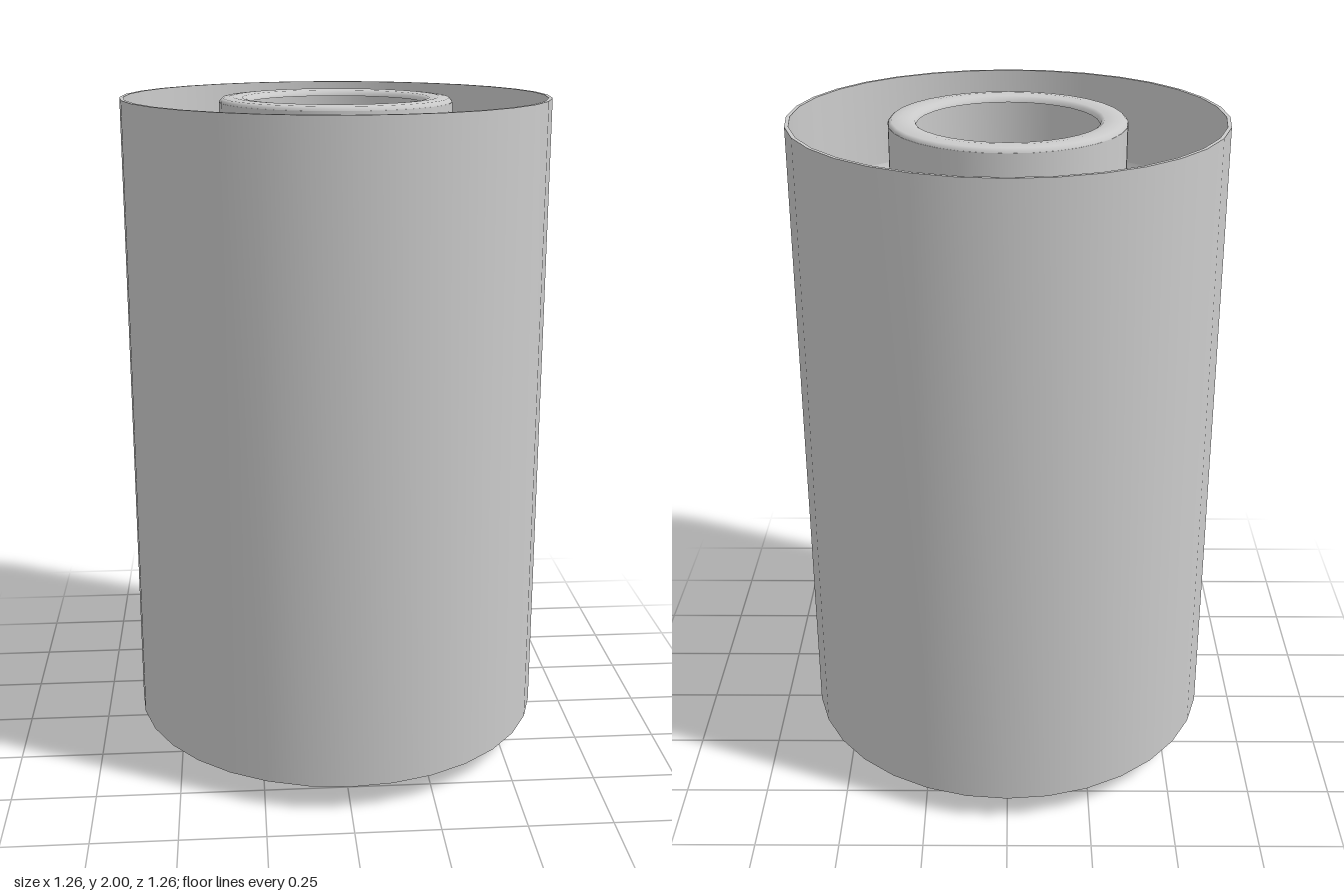
import * as THREE from 'three';
import { toCreasedNormals } from 'three/addons/utils/BufferGeometryUtils.js';

const material = new THREE.MeshStandardMaterial({ color: 0xcccccc, side: THREE.DoubleSide });
const SIDES = 32;

function lathe(name, profile, crease) {
  const points = profile.map(([r, y]) => new THREE.Vector2(r, y));
  let geometry = new THREE.LatheGeometry(points, SIDES);
  if (crease) geometry = toCreasedNormals(geometry, crease);
  const mesh = new THREE.Mesh(geometry, material);
  mesh.name = name;
  return mesh;
}

// Half-ellipse channel between the core and the shell; depth is signed in y
function channel(name, edgeY, depth) {
  const inner = 0.343, outer = 0.622, profile = [];
  for (let i = 0; i <= 10; i++) {
    const a = (i / 10) * Math.PI;
    const r = (inner + outer) / 2 - Math.cos(a) * (outer - inner) / 2;
    profile.push([r, edgeY + depth * Math.sin(a)]);
  }
  return lathe(name, profile);
}

export function createModel() {
  const group = new THREE.Group();
  group.name = 'hollowCylinder';

  // Thin outer shell, closed at both rims
  group.add(lathe('outerShell', [
    [0.632, 0.08], [0.632, 2], [0.621, 2], [0.621, 0.08], [0.632, 0.08],
  ], 0.6));

  // Thin core tube
  group.add(lathe('coreTube', [
    [0.343, 0.14], [0.343, 1.985], [0.336, 1.985], [0.336, 0.14], [0.343, 0.14],
  ], 0.6));

  // Rounded lip turned inward at the top of the core
  group.add(lathe('coreLip', [
    [0.343, 1.98], [0.341, 1.99], [0.333, 1.997], [0.304, 2],
    [0.275, 1.997], [0.265, 1.99], [0.262, 1.98],
  ]));

  // Concave end faces between core and shell
  group.add(channel('upperChannel', 1.74, -0.11));
  group.add(channel('lowerChannel', 0.39, 0.11));

  // Bent strip below the core, as [z, y] along its length
  const clip = new THREE.Group();
  clip.name = 'clip';
  const path = [[0.341, 0.145], [0.335, 0.074], [0.237, 0.074], [0.205, 0.115], [0.155, 0.005]];
  for (let i = 1; i < path.length; i++) {
    const [z0, y0] = path[i - 1], [z1, y1] = path[i];
    const dz = z1 - z0, dy = y1 - y0;
    const part = new THREE.Mesh(new THREE.BoxGeometry(0.03, 0.009, Math.hypot(dz, dy) + 0.004), material);
    part.name = 'clipSegment';
    part.position.set(0, (y0 + y1) / 2, (z0 + z1) / 2);
    part.rotation.x = Math.atan2(-dy, dz);
    clip.add(part);
  }
  group.add(clip);

  return group;
}
